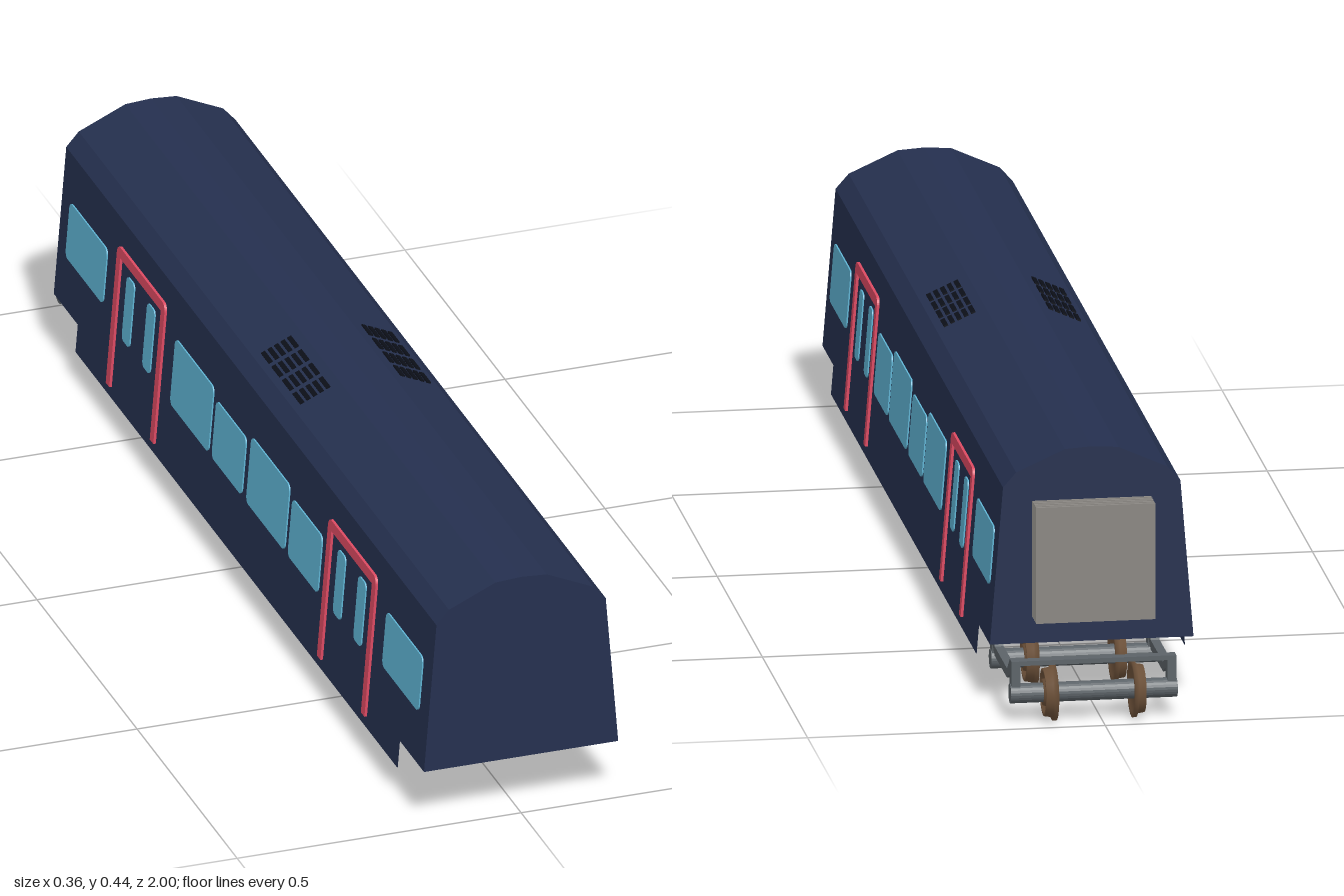
import * as THREE from 'three';

const mat = (color) => new THREE.MeshStandardMaterial({ color, side: THREE.DoubleSide, flatShading: true });
const navy = mat(0x25304f), glass = mat(0x5fb4d4), red = mat(0xdc4a62), black = mat(0x0c0f18);
const grey = mat(0x8a8782), steel = mat(0x5c6368);
const brown = new THREE.MeshStandardMaterial({ color: 0x6e523a });

const FRONT = 1, BACK = -0.85;
// Half section of the shell, from the sill to the roof ridge
const PROFILE = [[0.171, 0.105], [0.149, 0.375], [0.127, 0.4], [0.045, 0.437], [0, 0.44]];
const wallX = (y) => 0.171 - (0.022 / 0.27) * (y - 0.105);

function add(parent, name, geometry, material) {
  const mesh = new THREE.Mesh(geometry, material);
  mesh.name = name;
  parent.add(mesh);
  return mesh;
}

function polygon(points) {
  return new THREE.Shape(points.map(([x, y]) => new THREE.Vector2(x, y)));
}

function roundedRect(u0, v0, u1, v1, r) {
  const s = new THREE.Shape();
  s.absarc(u1 - r, v1 - r, r, 0, Math.PI / 2);
  s.absarc(u0 + r, v1 - r, r, Math.PI / 2, Math.PI);
  s.absarc(u0 + r, v0 + r, r, Math.PI, Math.PI * 1.5);
  s.absarc(u1 - r, v0 + r, r, Math.PI * 1.5, Math.PI * 2);
  s.closePath();
  return s;
}

// Lays a shape drawn in (-z, y) onto the leaning side wall
function onWall(shape, depth = 0) {
  const g = depth
    ? new THREE.ExtrudeGeometry(shape, { depth, bevelEnabled: false, curveSegments: 4 })
    : new THREE.ShapeGeometry(shape);
  g.translate(0, 0, -depth / 2).rotateY(Math.PI / 2);
  const p = g.attributes.position;
  for (let i = 0; i < p.count; i++) p.setX(i, p.getX(i) + wallX(p.getY(i)));
  g.computeVertexNormals();
  return g;
}

function createWall() {
  const wall = new THREE.Group();
  // Side sheet with a skirt that stops short of both ends
  const sheet = polygon([[-FRONT, 0.105], [-0.88, 0.105], [-0.88, 0.055], [0.73, 0.055],
    [0.73, 0.105], [-BACK, 0.105], [-BACK, 0.375], [-FRONT, 0.375]]);
  add(wall, 'sideWall', onWall(sheet), navy);

  // Windows: front z, back z, bottom, top
  const windows = [
    [0.957, 0.775, 0.195, 0.295], [0.458, 0.308, 0.175, 0.28], [0.292, 0.1, 0.175, 0.295],
    [0.078, -0.072, 0.175, 0.28], [-0.088, -0.28, 0.175, 0.295], [-0.62, -0.807, 0.195, 0.295],
  ];
  for (const [a, b, y0, y1] of windows)
    add(wall, 'window', onWall(roundedRect(-a, y0, -b, y1, 0.012), 0.005), glass);

  // Doors: frame and two narrow panes
  for (const z of [0.603, -0.452]) {
    const c = -z, w = 0.119, t = 0.018, r = 0.014;
    const frame = new THREE.Shape();
    frame.moveTo(c - w, 0.075);
    frame.lineTo(c - w + t, 0.075);
    frame.lineTo(c - w + t, 0.312);
    frame.lineTo(c + w - t, 0.312);
    frame.lineTo(c + w - t, 0.075);
    frame.lineTo(c + w, 0.075);
    frame.absarc(c + w - r, 0.33 - r, r, 0, Math.PI / 2);
    frame.absarc(c - w + r, 0.33 - r, r, Math.PI / 2, Math.PI);
    add(wall, 'doorFrame', onWall(frame, 0.009), red);
    for (const d of [-0.051, 0.051])
      add(wall, 'doorWindow', onWall(roundedRect(c + d - 0.019, 0.178, c + d + 0.019, 0.295, 0.01), 0.005), glass);
  }

  // Roof vents: four blocks of slats along the slope
  const slope = Math.atan2(0.437 - 0.4, 0.045 - 0.127);
  for (let row = 0; row < 4; row++) {
    for (let i = 0; i < 5; i++) {
      const x = 0.065 + i * 0.0115;
      const slat = add(wall, 'roofVentSlat', new THREE.BoxGeometry(0.008, 0.005, 0.038), black);
      slat.position.set(x, 0.437 - (x - 0.045) * (0.037 / 0.082), 0.046 + row * 0.0525);
      slat.rotation.z = slope + Math.PI;
    }
  }
  return wall;
}

function createShell() {
  const shell = new THREE.Group();
  shell.name = 'carriageShell';
  const left = createWall(), right = createWall();
  left.name = 'leftSide';
  right.name = 'rightSide';
  right.scale.x = -1;
  shell.add(left, right);

  // Faceted roof swept along the length
  const roofLine = PROFILE.slice(1);
  const arch = [...roofLine, ...roofLine.slice(0, -1).reverse().map(([x, y]) => [-x, y])];
  const pos = [], index = [];
  arch.forEach(([x, y], i) => {
    pos.push(x, y, FRONT, x, y, BACK);
    if (i) {
      const k = 2 * i - 2;
      index.push(k, k + 1, k + 2, k + 1, k + 3, k + 2);
    }
  });
  const roof = new THREE.BufferGeometry();
  roof.setAttribute('position', new THREE.Float32BufferAttribute(pos, 3));
  roof.setIndex(index);
  roof.computeVertexNormals();
  add(shell, 'roof', roof, navy);

  // End walls
  const end = polygon([PROFILE[0], ...arch, [-PROFILE[0][0], PROFILE[0][1]]]);
  add(shell, 'frontEnd', new THREE.ShapeGeometry(end), navy).position.z = FRONT;
  const back = add(shell, 'backEnd', new THREE.ShapeGeometry(end), navy);
  back.position.z = BACK;
  back.rotation.y = Math.PI;
  return shell;
}

// Ribbed passage on the back end
function createGangway() {
  const gangway = new THREE.Group();
  gangway.name = 'gangway';
  for (let i = 0; i < 9; i++) {
    const inset = i % 2 ? 0.004 : 0;
    add(gangway, 'gangwayRib', new THREE.BoxGeometry(0.2 - inset * 2, 0.2 - inset * 2, 0.005), grey)
      .position.set(0, 0.25, BACK - 0.0025 - i * 0.005);
  }
  return gangway;
}

function createBogie() {
  const bogie = new THREE.Group();
  bogie.name = 'bogie';
  bogie.position.x = 0.013;
  // Wheel section: radius, distance outward from the flange's inner face
  const section = [[0.014, 0.004], [0.036, 0.004], [0.038, 0], [0.048, 0], [0.048, 0.006], [0.042, 0.008],
    [0.04, 0.02], [0.034, 0.02], [0.032, 0.014], [0.024, 0.014], [0.022, 0.021], [0.014, 0.021]];
  const wheelGeometry = new THREE.LatheGeometry(section.map(([r, h]) => new THREE.Vector2(r, h)), 32);
  wheelGeometry.rotateZ(-Math.PI / 2);
  const wheelMat = brown;
  wheelMat.side = THREE.DoubleSide;

  for (const z of [-0.735, -0.951]) {
    const axle = add(bogie, 'axle', new THREE.CylinderGeometry(0.0165, 0.0165, 0.28, 24), steel);
    axle.rotation.z = Math.PI / 2;
    axle.position.set(0, 0.048, z);
    for (const s of [-1, 1]) {
      const wheel = add(bogie, 'wheel', wheelGeometry, wheelMat);
      wheel.position.set(s * 0.064, 0.048, z);
      if (s < 0) wheel.rotation.y = Math.PI;
    }
    add(bogie, 'crossBeam', new THREE.BoxGeometry(0.25, 0.008, 0.018), steel).position.set(0, 0.101, z);
  }

  // Side frames dipping between the axles
  const frame = polygon([[0.725, 0.055], [0.745, 0.055], [0.748, 0.078], [0.775, 0.064], [0.911, 0.064], [0.938, 0.078],
    [0.941, 0.055], [0.961, 0.055], [0.961, 0.105], [0.941, 0.105], [0.911, 0.08], [0.775, 0.08], [0.745, 0.105], [0.725, 0.105]]);
  const sideFrame = new THREE.ExtrudeGeometry(frame, { depth: 0.015, bevelEnabled: false });
  sideFrame.translate(0, 0, -0.0075).rotateY(Math.PI / 2);
  for (const s of [-1, 1]) add(bogie, 'sideFrame', sideFrame, steel).position.x = s * 0.131;
  return bogie;
}

export function createModel() {
  const model = new THREE.Group();
  model.name = 'railCarriage';
  model.add(createShell(), createGangway(), createBogie());
  return model;
}
